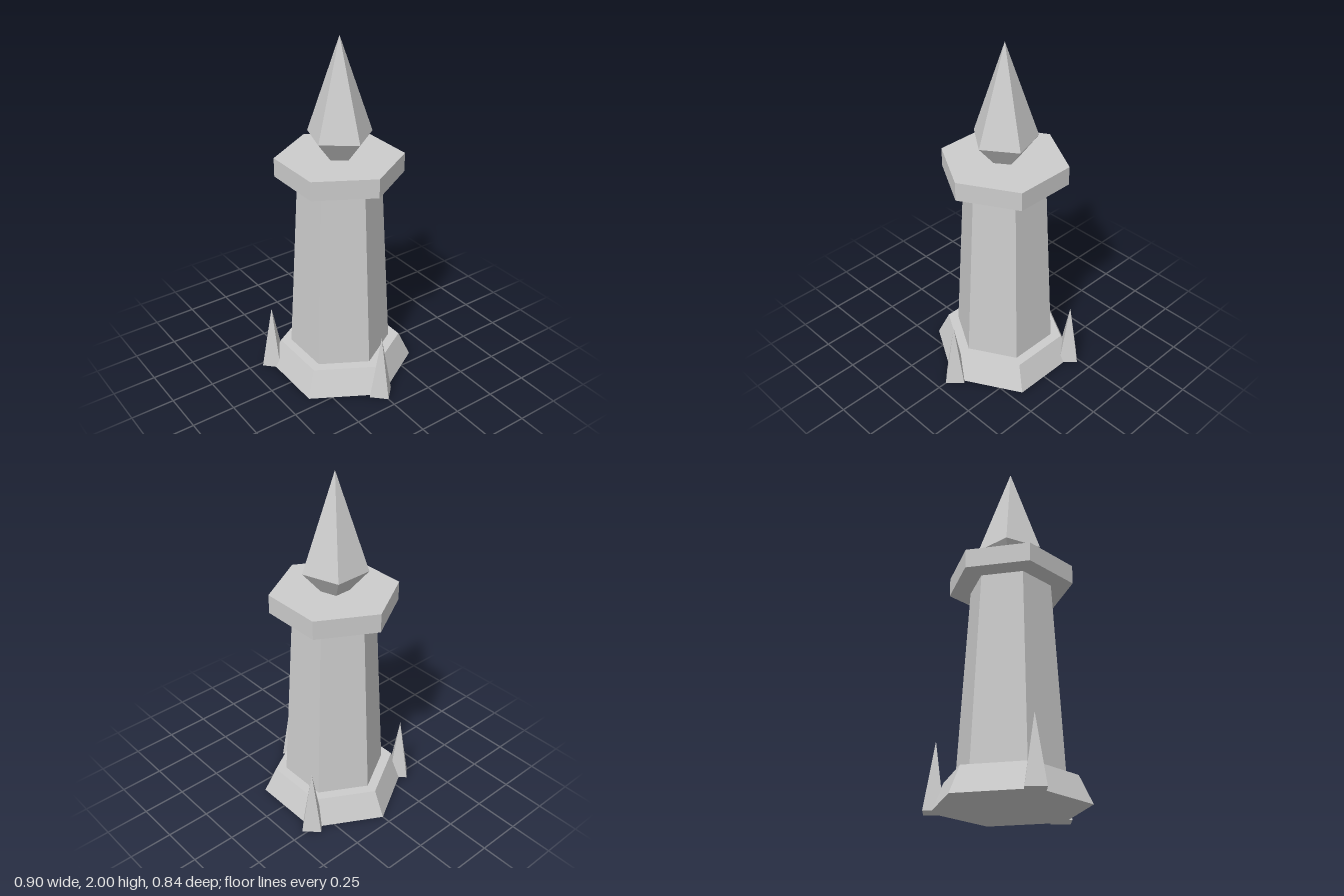
import * as THREE from 'three';

export function createModel() {
  const model = new THREE.Group();
  model.name = 'crystalTower';
  const stone = new THREE.MeshStandardMaterial({ color: 0xcccccc, flatShading: true });
  stone.name = 'paleStone';

  const axisX = -0.028; // the tower stands slightly off centre to balance the front spike

  // Faceted frustum with one corner pointing to +x
  function frustum(name, sides, rBottom, rTop, y0, y1, x = axisX, z = 0) {
    const geo = new THREE.CylinderGeometry(rTop, rBottom, y1 - y0, sides, 1, false, Math.PI / 2);
    const mesh = new THREE.Mesh(geo, stone);
    mesh.name = name;
    mesh.position.set(x, (y0 + y1) / 2, z);
    model.add(mesh);
  }

  // Hexagonal tower
  frustum('base', 6, 0.422, 0.352, 0, 0.152);
  frustum('column', 6, 0.29, 0.23, 0.152, 1.232);
  frustum('collar', 6, 0.352, 0.352, 1.232, 1.34);

  // Five-sided crystal
  frustum('crystalBottom', 5, 0.08, 0.183, 1.34, 1.463);
  frustum('crystalTip', 5, 0.183, 0, 1.463, 2);

  // Three spikes around the base, all turned the same way
  for (let i = 0; i < 3; i++) {
    const a = (i * Math.PI * 2) / 3;
    frustum('spike' + (i + 1), 4, 0.076, 0, 0, 0.38,
      axisX + 0.4 * Math.cos(a), 0.4 * Math.sin(a));
  }
  return model;
}
